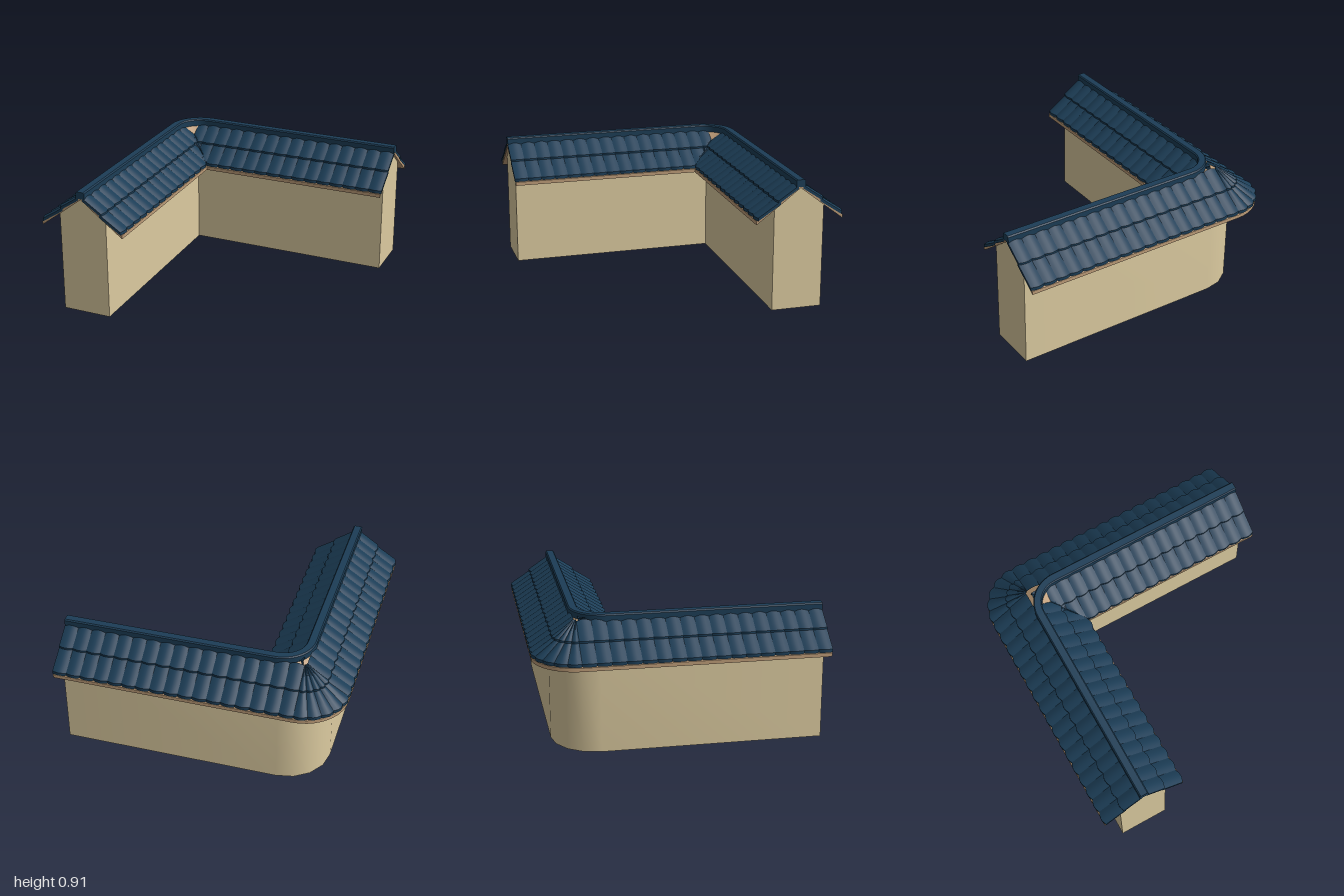
import * as THREE from 'three';
import { mergeGeometries, toCreasedNormals } from 'three/addons/utils/BufferGeometryUtils.js';

const RIDGE = -0.685;   // x (and z) of the ridge line of both arms
const END = 0.985;      // free end of the roof
const TILE = 0.0982;    // tile width

function buildGeometry(positions, index, crease) {
  const g = new THREE.BufferGeometry();
  g.setAttribute('position', new THREE.Float32BufferAttribute(positions, 3));
  g.setIndex(index);
  return toCreasedNormals(g, crease);
}

// Sweeps a closed section [w, y] round the L; w is the offset toward the inner side.
function sweep(section, end, steps) {
  const n = section.length, positions = [], index = [];
  const ring = (place) => section.forEach(([w, y]) => {
    const [x, z] = place(RIDGE + w, Math.min(0.31, Math.max(0, 0.2 - 1.2 * w)));
    positions.push(x, y, z);
  });
  ring((m) => [m, end]);
  for (let i = 0; i <= steps; i++) {
    const a = (i / steps) * Math.PI / 2;
    ring((m, r) => [m + r - r * Math.cos(a), m + r - r * Math.sin(a)]);
  }
  ring((m) => [end, m]);
  const last = (steps + 2) * n;
  for (let base = 0; base < last; base += n) {
    for (let j = 0; j < n; j++) {
      const a = base + j, b = base + (j + 1) % n;
      index.push(a, a + n, b, b, a + n, b + n);
    }
  }
  const contour = section.map(([w, y]) => new THREE.Vector2(w, y));
  for (const [a, b, c] of THREE.ShapeUtils.triangulateShape(contour, [])) {
    index.push(a, b, c, last + a, last + c, last + b);
  }
  return buildGeometry(positions, index, 0.6);
}

// Height of the roof deck at a distance d from the ridge: steep above, flatter at the eave
function deckHeight(d) {
  return d < 0.16 ? 0.878 - 0.78 * d : 0.753 - 0.74 * (d - 0.16);
}

// One arched tile with rounded lower end; place(d, u) gives [x, z].
function tile(place, d0, d1, lift) {
  const across = 6, down = 3, cols = across + 3, positions = [], index = [];
  for (let j = 0; j <= down + 1; j++) {
    const v = Math.min(j / down, 1);
    for (let i = -1; i <= across + 1; i++) {
      const u = Math.min(Math.max(i / across, 0), 1);
      const arch = Math.sin(Math.PI * u);
      const d = d0 + (d1 - d0) * v + 0.014 * arch * v;
      const skirt = j > down || i < 0 || i > across ? 0.022 : 0;
      const [x, z] = place(d, u);
      positions.push(x, deckHeight(d) + 0.004 + lift * v + 0.013 * arch - skirt, z);
    }
  }
  for (let j = 0; j <= down; j++) {
    for (let i = 0; i < cols - 1; i++) {
      const a = j * cols + i;
      index.push(a, a + cols, a + 1, a + 1, a + cols, a + cols + 1);
    }
  }
  return buildGeometry(positions, index, 0.7);
}

export function createModel() {
  const model = new THREE.Group();
  const plaster = new THREE.MeshStandardMaterial({ color: 0xdccba0 });
  const timber = new THREE.MeshStandardMaterial({ color: 0xbd9c78 });
  const slate = new THREE.MeshStandardMaterial({ color: 0x1c3d56 });
  const tileSlate = new THREE.MeshStandardMaterial({ color: 0x1c3d56, side: THREE.DoubleSide });
  const add = (name, geometry, material) => {
    const mesh = new THREE.Mesh(geometry, material);
    mesh.name = name;
    model.add(mesh);
  };

  // Wall with a gabled top and a rounded outer corner
  add('wall', sweep([[-0.175, 0], [0.175, 0], [0.175, 0.725], [0, 0.862], [-0.175, 0.725]], 0.96, 4), plaster);

  // Thin timber deck under the tiles
  const top = [0.305, 0.16, 0].map((d) => [d, deckHeight(d)]);
  const half = [[0, 0.852], [0.16, 0.729], [0.305, 0.62], ...top];
  const mirrored = half.slice(1, -1).reverse().map(([w, y]) => [-w, y]);
  add('roofDeck', sweep([...half, ...mirrored], 0.978, 10), timber);

  // Ridge cap following the bend
  add('ridgeCap', sweep([[-0.032, 0.86], [0.032, 0.86], [0.032, 0.902], [0.024, 0.91],
    [-0.024, 0.91], [-0.032, 0.902]], END, 12), slate);

  // Two overlapping rows of tiles on each slope
  const rows = [
    { name: 'upperTiles', d0: 0.015, d1: 0.155, lift: 0.016 },
    { name: 'lowerTiles', d0: 0.14, d1: 0.296, lift: 0.014 },
  ];
  const count = Math.round((END - RIDGE) / TILE);
  const width = (END - RIDGE) / count;
  const fans = 5;
  for (const { name, d0, d1, lift } of rows) {
    const tiles = [];
    for (const side of [-1, 1]) {
      for (let k = 0; k < count; k++) {
        // Inner tiles stop at the valley where the two arms meet
        const west = (d, u) => {
          const m = RIDGE + side * d, z = END - (k + u) * width;
          return [m, side > 0 ? Math.max(z, m) : z];
        };
        if (side > 0 && END - k * width <= RIDGE + d0) continue;
        tiles.push(tile(west, d0, d1, lift));
        tiles.push(tile((d, u) => west(d, u).reverse(), d0, d1, lift));
      }
    }
    // Fan of tiles round the outer corner
    for (let k = 0; k < fans; k++) {
      tiles.push(tile((d, u) => {
        const a = ((k + u) / fans) * Math.PI / 2;
        return [RIDGE - d * Math.cos(a), RIDGE - d * Math.sin(a)];
      }, d0, d1, lift));
    }
    add(name, mergeGeometries(tiles), tileSlate);
  }
  return model;
}
